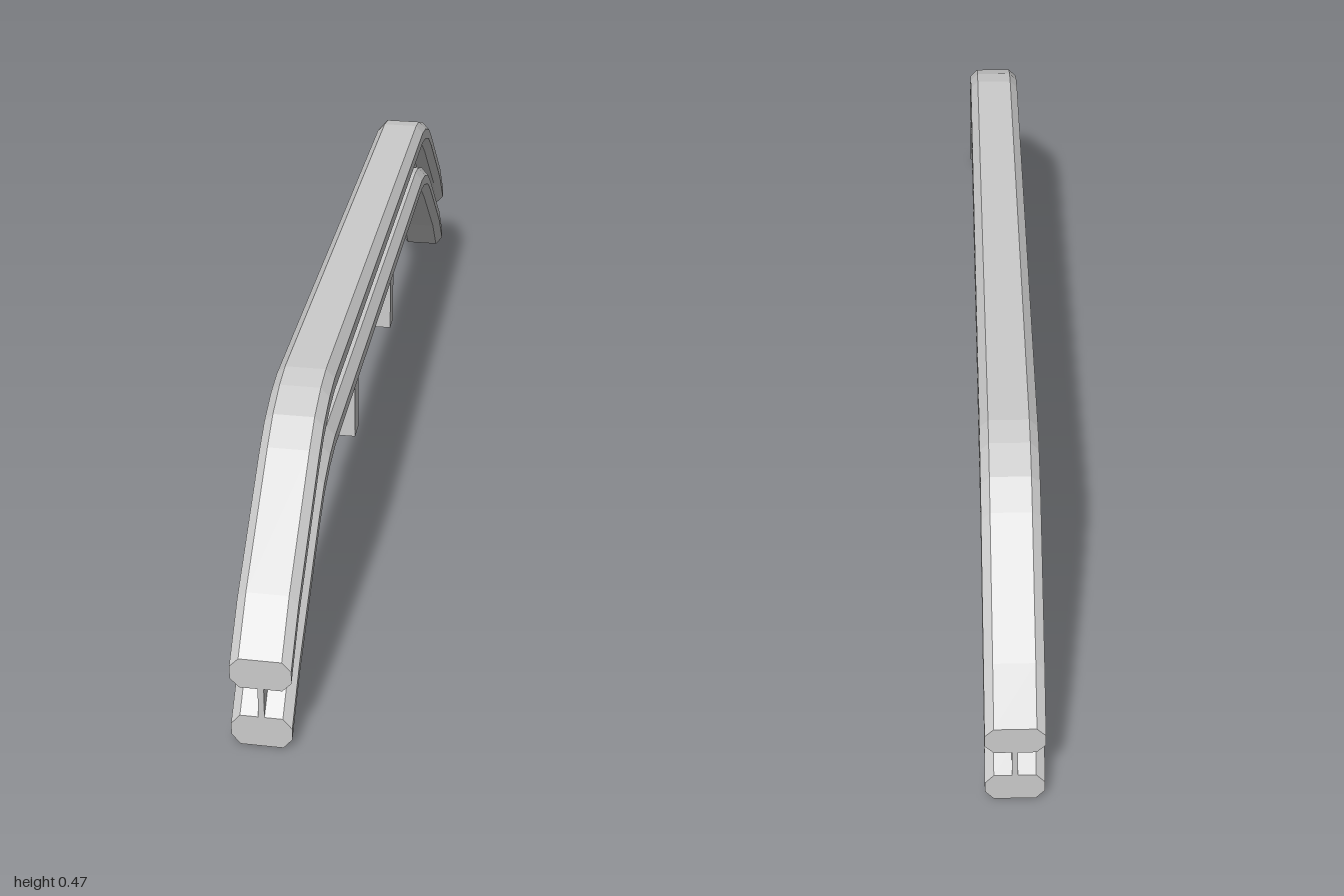
import * as THREE from 'three';

const material = new THREE.MeshStandardMaterial({ color: 0xcccccc, flatShading: true });

// Height of the beam's underside along its length: flat middle, drooping ends
const half = [[0.58, 0.303], [0.63, 0.294], [0.69, 0.271], [0.74, 0.236], [0.93, 0.079], [1, 0]];
const path = [...half.map(([z, y]) => [-z, y]).reverse(), ...half];

// Sweep a convex section (anticlockwise x, y points) along the path, keeping it upright
function sweep(section) {
  const n = section.length, positions = [], index = [];
  for (const [z, lift] of path) for (const [x, y] of section) positions.push(x, y + lift, z);
  for (let i = 0; i < path.length - 1; i++) {
    for (let j = 0; j < n; j++) {
      const a = i * n + j, b = i * n + (j + 1) % n;
      index.push(a, b, b + n, a, b + n, a + n);
    }
  }
  const last = (path.length - 1) * n;
  for (let j = 1; j < n - 1; j++) {
    index.push(0, j + 1, j);
    index.push(last, last + j, last + j + 1);
  }
  const g = new THREE.BufferGeometry();
  g.setAttribute('position', new THREE.Float32BufferAttribute(positions, 3));
  g.setIndex(index);
  const flat = g.toNonIndexed();
  flat.computeVertexNormals();
  return flat;
}

// Rectangle with cut corners, w and c are half widths
function chamfered(y0, y1, w, inner, cut) {
  return [[-inner, y0], [inner, y0], [w, y0 + cut], [w, y1 - cut],
    [inner, y1], [-inner, y1], [-w, y1 - cut], [-w, y0 + cut]];
}

export function createModel() {
  const model = new THREE.Group();
  const add = (name, geometry, x = 0, y = 0, z = 0) => {
    const mesh = new THREE.Mesh(geometry, material);
    mesh.name = name;
    mesh.position.set(x, y, z);
    model.add(mesh);
  };

  // Two chamfered rails joined by a thin web
  add('lowerRail', sweep(chamfered(0, 0.057, 0.05, 0.035, 0.018)));
  add('upperRail', sweep(chamfered(0.112, 0.167, 0.05, 0.035, 0.016)));
  add('web', sweep([[-0.005, 0.055], [0.005, 0.055], [0.005, 0.114], [-0.005, 0.114]]));

  // Small bolts through the web
  for (const z of [0.435, 0.015, -0.455])
    add('bolt', new THREE.BoxGeometry(0.04, 0.034, 0.04), 0, 0.39, z);

  // Support posts under the straight part
  for (const z of [0.25, -0.215])
    add('post', new THREE.BoxGeometry(0.07, 0.145, 0.042), 0, 0.2375, z);

  return model;
}
